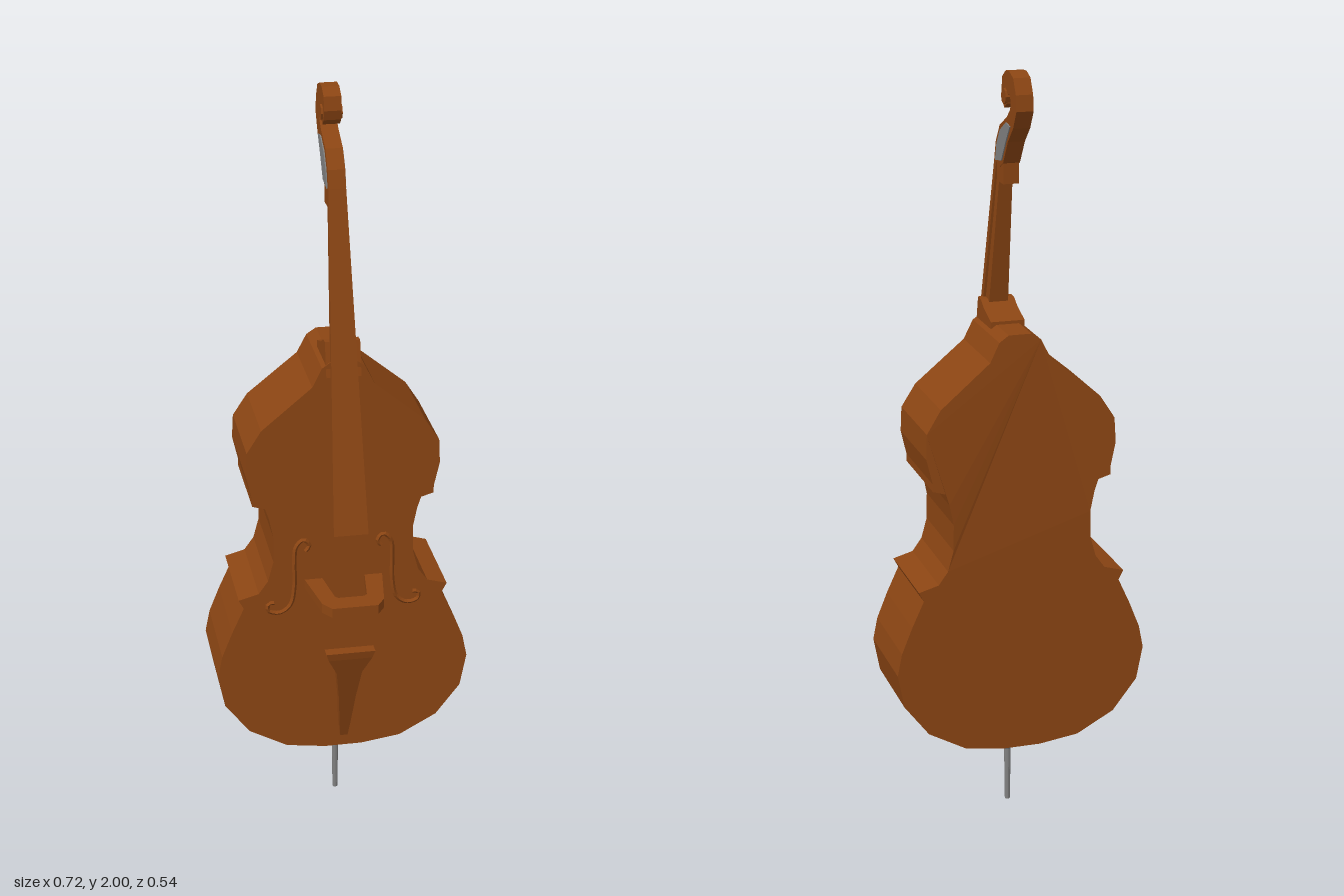
import * as THREE from 'three';

export function createModel() {
  const wood = new THREE.MeshStandardMaterial({ color: 0x8b4513 });
  wood.name = 'brown wood';
  const metal = new THREE.MeshStandardMaterial({ color: 0x808080 });
  metal.name = 'grey metal';

  const root = new THREE.Group();
  root.name = 'doubleBass';
  const bass = new THREE.Group();
  bass.name = 'instrument';
  bass.position.z = -0.03;
  bass.rotation.y = -0.365; // stands turned to one side
  root.add(bass);

  const add = (name, geo, mat = wood) => {
    const m = new THREE.Mesh(geo, mat);
    m.name = name;
    bass.add(m);
    return m;
  };
  const shapeOf = (pts) => new THREE.Shape(pts.map(([x, y]) => new THREE.Vector2(x, y)));
  const extrude = (pts, depth) => new THREE.ExtrudeGeometry(shapeOf(pts), { depth, bevelEnabled: false })
    .translate(0, 0, -depth / 2);
  // side profile in (z, y), given thickness across x
  const sideProfile = (pts, width) => extrude(pts, width).rotateY(-Math.PI / 2);
  const faceted = (geo) => {
    const g = geo.index ? geo.toNonIndexed() : geo;
    g.computeVertexNormals();
    return g;
  };
  // bar through rectangular sections, bottom to top: [y, frontZ, thickness, halfWidth]
  const bar = (rows) => {
    const n = rows.length - 1;
    const g = new THREE.BoxGeometry(1, 1, 1, 1, n, 1);
    const p = g.attributes.position;
    for (let i = 0; i < p.count; i++) {
      const [y, front, thick, half] = rows[Math.round((p.getY(i) + 0.5) * n)];
      p.setXYZ(i, Math.sign(p.getX(i)) * half, y, p.getZ(i) > 0 ? front : front - thick);
    }
    return faceted(g);
  };

  // body: half outline mirrored, with the back leaning in near the top
  const half = [
    [0.05, 0.215], [0.155, 0.23], [0.255, 0.285], [0.32, 0.37], [0.337, 0.46], [0.325, 0.52],
    [0.297, 0.59], [0.265, 0.66], [0.278, 0.685], [0.225, 0.7], [0.2, 0.735], [0.185, 0.79],
    [0.184, 0.86], [0.195, 0.915], [0.205, 0.945], [0.238, 0.955], [0.238, 0.975], [0.253, 1.04],
    [0.25, 1.105], [0.212, 1.165], [0.14, 1.225], [0.08, 1.275], [0.055, 1.325], [0.03, 1.342],
  ];
  const outline = [...half, ...half.map(([x, y]) => [-x, y]).reverse()];
  const bodyGeo = extrude(outline, 0.26);
  const bp = bodyGeo.attributes.position;
  for (let i = 0; i < bp.count; i++) {
    const t = Math.max(0, (bp.getY(i) - 0.95) / 0.4);
    if (bp.getZ(i) < 0) bp.setZ(i, bp.getZ(i) + 0.025 * t);
  }
  add('body', faceted(bodyGeo));

  // neck, heel and fingerboard
  const boardFront = (y) => 0.24 - 0.2264 * (y - 0.9);
  add('fingerboard', bar([
    [0.905, boardFront(0.905), 0.022, 0.045],
    [1.77, boardFront(1.77), 0.018, 0.022],
  ]));
  add('neck', bar([
    [1.28, boardFront(1.28) - 0.015, 0.04, 0.028],
    [1.74, boardFront(1.74) - 0.012, 0.025, 0.017],
  ]));
  add('neckHeel', sideProfile([
    [0.0, 1.3], [0.135, 1.3], [0.115, 1.39], [0.09, 1.388], [0.06, 1.37], [0.0, 1.35],
  ], 0.09));
  add('neckCollar', new THREE.BoxGeometry(0.04, 0.055, 0.055)).position.set(0, 1.738, 0.001);

  // peg box curling over into the scroll
  add('pegBoxAndScroll', sideProfile([
    [0.045, 1.765], [0.032, 1.81], [0.0, 1.855], [-0.06, 1.885], [-0.088, 1.908], [-0.092, 1.93],
    [-0.08, 1.945], [-0.06, 1.94], [-0.06, 1.918], [-0.04, 1.905], [-0.024, 1.92], [-0.016, 1.945],
    [-0.022, 1.98], [-0.05, 1.998], [-0.08, 2.0], [-0.112, 1.988], [-0.134, 1.95], [-0.139, 1.91],
    [-0.112, 1.865], [-0.07, 1.825], [-0.03, 1.765], [0.0, 1.75],
  ], 0.044));
  add('scrollEye', faceted(new THREE.CylinderGeometry(0.02, 0.02, 0.054, 8).rotateZ(Math.PI / 2)))
    .position.set(0, 1.935, -0.048);
  for (const s of [-1, 1]) {
    add(s > 0 ? 'leftPegPlate' : 'rightPegPlate', sideProfile([
      [0.03, 1.762], [0.018, 1.805], [-0.01, 1.845], [-0.06, 1.872], [-0.092, 1.866],
      [-0.06, 1.825], [-0.022, 1.77],
    ], 0.006), metal).position.x = s * 0.022;
  }

  // bridge: open bracket standing out from the belly
  const bridgeHalf = [[0.104, 0.125], [0.081, 0.268], [0.06, 0.3]];
  const bridgeInner = [[0.035, 0.244], [0.042, 0.235], [0.057, 0.125]];
  const mirror = (pts) => pts.map(([x, y]) => [-x, y]).reverse();
  add('bridge', extrude([
    ...bridgeHalf, ...mirror(bridgeHalf), ...mirror(bridgeInner).map((p) => p), ...bridgeInner,
  ], 0.026).rotateX(Math.PI / 2)).position.y = 0.718;

  // tailpiece rising away from the belly
  add('tailpiece', bar([
    [0.25, 0.138, 0.02, 0.01], [0.3, 0.155, 0.025, 0.015], [0.4, 0.188, 0.025, 0.023],
    [0.49, 0.218, 0.028, 0.034], [0.54, 0.235, 0.03, 0.058], [0.562, 0.24, 0.03, 0.065],
  ]));

  // curled sound holes on the belly
  for (const s of [-1, 1]) {
    const path = new THREE.CatmullRomCurve3([
      [0.1, 0.815], [0.09, 0.83], [0.105, 0.848], [0.125, 0.83], [0.13, 0.78], [0.13, 0.72],
      [0.142, 0.66], [0.17, 0.64], [0.2, 0.648], [0.2, 0.668], [0.185, 0.67],
    ].map(([x, y]) => new THREE.Vector3(s * x, y, 0.13)));
    add(s > 0 ? 'leftSoundHole' : 'rightSoundHole', faceted(new THREE.TubeGeometry(path, 36, 0.006, 4)));
  }

  // end pin
  const pin = [[0, 0], [0.007, 0], [0.009, 0.15], [0.018, 0.17], [0.018, 0.2], [0.012, 0.22], [0, 0.22]];
  add('endPin', faceted(new THREE.LatheGeometry(pin.map(([x, y]) => new THREE.Vector2(x, y)), 10)), metal);

  return root;
}
